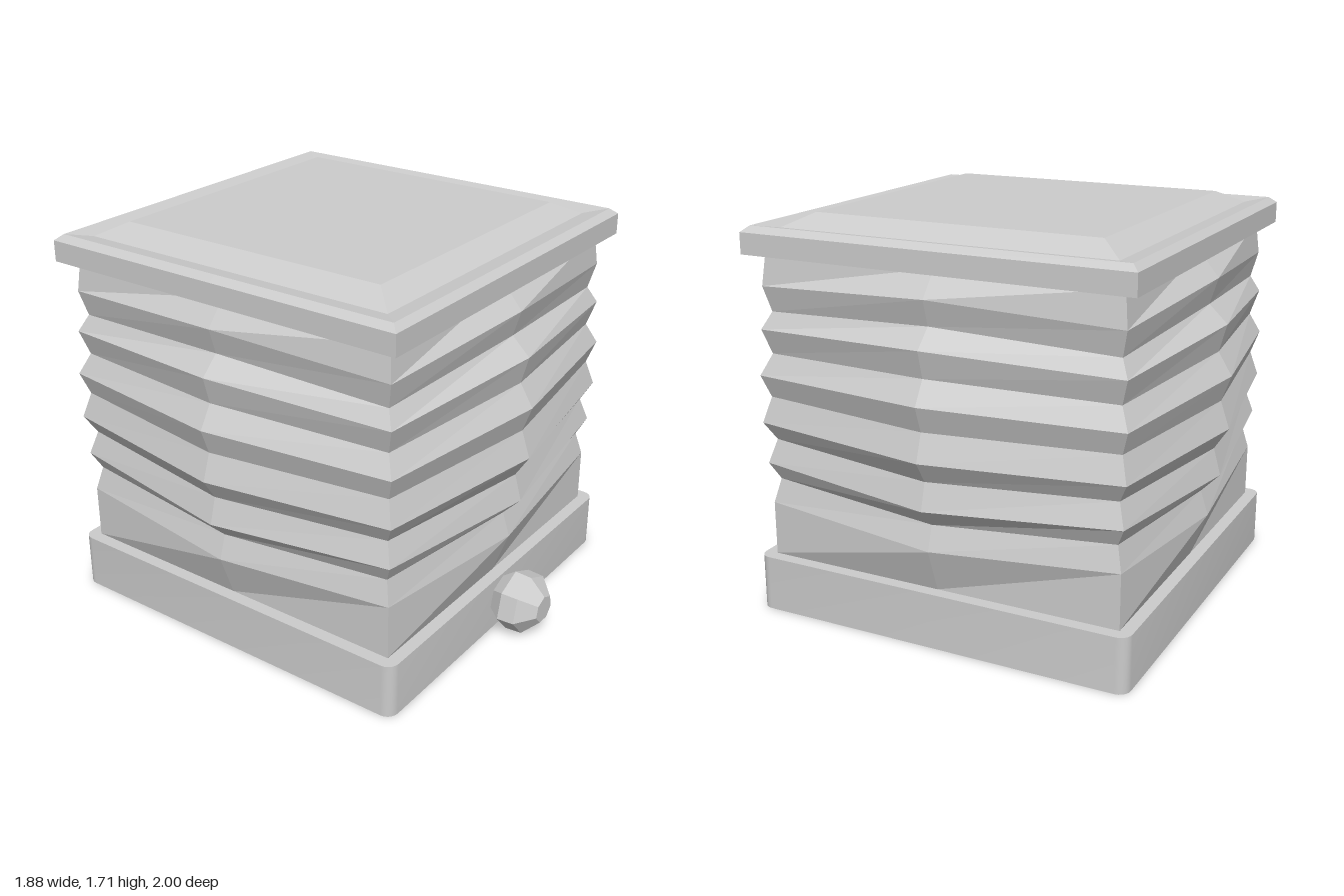
import * as THREE from 'three';
import { toCreasedNormals } from 'three/addons/utils/BufferGeometryUtils.js';

const CENTRE_Z = -0.055;

// Skin a stack of closed loops (bottom to top, anticlockwise from above)
function loft(loops) {
  const n = loops[0].length, index = [];
  for (let r = 0; r < loops.length - 1; r++) {
    for (let i = 0; i < n; i++) {
      const a = r * n + i, b = r * n + (i + 1) % n;
      index.push(a, b, b + n, a, b + n, a + n);
    }
  }
  const geo = new THREE.BufferGeometry().setFromPoints(loops.flat());
  geo.setIndex(index);
  geo.computeVertexNormals();
  return geo;
}

// Square loop whose side midpoints can bulge and sit at another height
function squareLoop(corner, yCorner, mid = corner, yMid = yCorner) {
  const pts = [];
  for (let k = 0; k < 4; k++) {
    const a = k * Math.PI / 2, c = Math.cos(a), s = Math.sin(a);
    pts.push(new THREE.Vector3(mid * s, yMid, mid * c));
    pts.push(new THREE.Vector3(corner * (s + c), yCorner, corner * (c - s)));
  }
  return pts;
}

// Square loop with rounded corners
function roundedLoop(half, radius, y, scale = 1) {
  const pts = [], steps = 5, inner = half - radius;
  for (let k = 0; k < 4; k++) {
    const sx = k === 0 || k === 1 ? 1 : -1, sz = k === 0 || k === 3 ? 1 : -1;
    for (let i = 0; i <= steps; i++) {
      const a = (k + i / steps) * Math.PI / 2;
      pts.push(new THREE.Vector3(
        scale * (sx * inner + radius * Math.sin(a)), y,
        scale * (sz * inner + radius * Math.cos(a))));
    }
  }
  return pts;
}

export function createModel() {
  const group = new THREE.Group();
  const flat = new THREE.MeshStandardMaterial({ color: 0xcccccc, flatShading: true, side: THREE.DoubleSide });
  const smooth = new THREE.MeshStandardMaterial({ color: 0xcccccc, side: THREE.DoubleSide });
  const add = (name, geo, mat, x, y, z) => {
    const mesh = new THREE.Mesh(geo, mat);
    mesh.name = name;
    mesh.position.set(x, y, z);
    group.add(mesh);
    return mesh;
  };

  // Base: thin tray, open underneath
  const base = loft([
    roundedLoop(0.85, 0.05, 0),
    roundedLoop(0.85, 0.05, 0.24),
    roundedLoop(0.85, 0.05, 0.24, 0),
  ]);
  add('base', toCreasedNormals(base, 0.6), smooth, 0, 0, CENTRE_Z);

  // Bellows: folds [corner half width, corner y, middle half width, middle y]
  const folds = [
    [0.795, 0.24, 0.795, 0.24],
    [0.795, 0.475, 0.866, 0.432],
    [0.77, 0.58, 0.832, 0.537],
    [0.805, 0.655, 0.912, 0.62],
    [0.775, 0.757, 0.88, 0.735],
    [0.815, 0.835, 0.94, 0.828],
    [0.785, 0.945, 0.9, 0.945],
    [0.815, 1.04, 0.94, 1.055],
    [0.775, 1.13, 0.88, 1.153],
    [0.805, 1.235, 0.912, 1.27],
    [0.77, 1.307, 0.832, 1.347],
    [0.795, 1.415, 0.866, 1.457],
    [0.78, 1.56, 0.78, 1.56],
  ];
  add('bellows', loft(folds.map(f => squareLoop(...f))), flat, 0, 0, CENTRE_Z);

  // Lid: raised rim, shallow groove and bevelled centre plate
  const lidProfile = [
    [0, 1.55], [0.85, 1.55], [0.85, 1.64], [0.82, 1.665],
    [0.735, 1.65], [0.63, 1.705], [0, 1.705],
  ];
  add('lid', loft(lidProfile.map(p => squareLoop(...p))), flat, 0, 0, CENTRE_Z);

  // Knob: seven-sided, on the front of the base
  const knobProfile = [[0, 0.77], [0.08, 0.77], [0.09, 0.795], [0.134, 0.855], [0.13, 0.93], [0.06, 1], [0, 1]]
    .map(p => new THREE.Vector2(...p));
  const knob = new THREE.LatheGeometry(knobProfile, 7, Math.PI);
  knob.rotateX(Math.PI / 2);
  knob.scale(1.1, 1, 1);
  add('knob', knob, flat, 0, 0.136, 0);

  return group;
}
